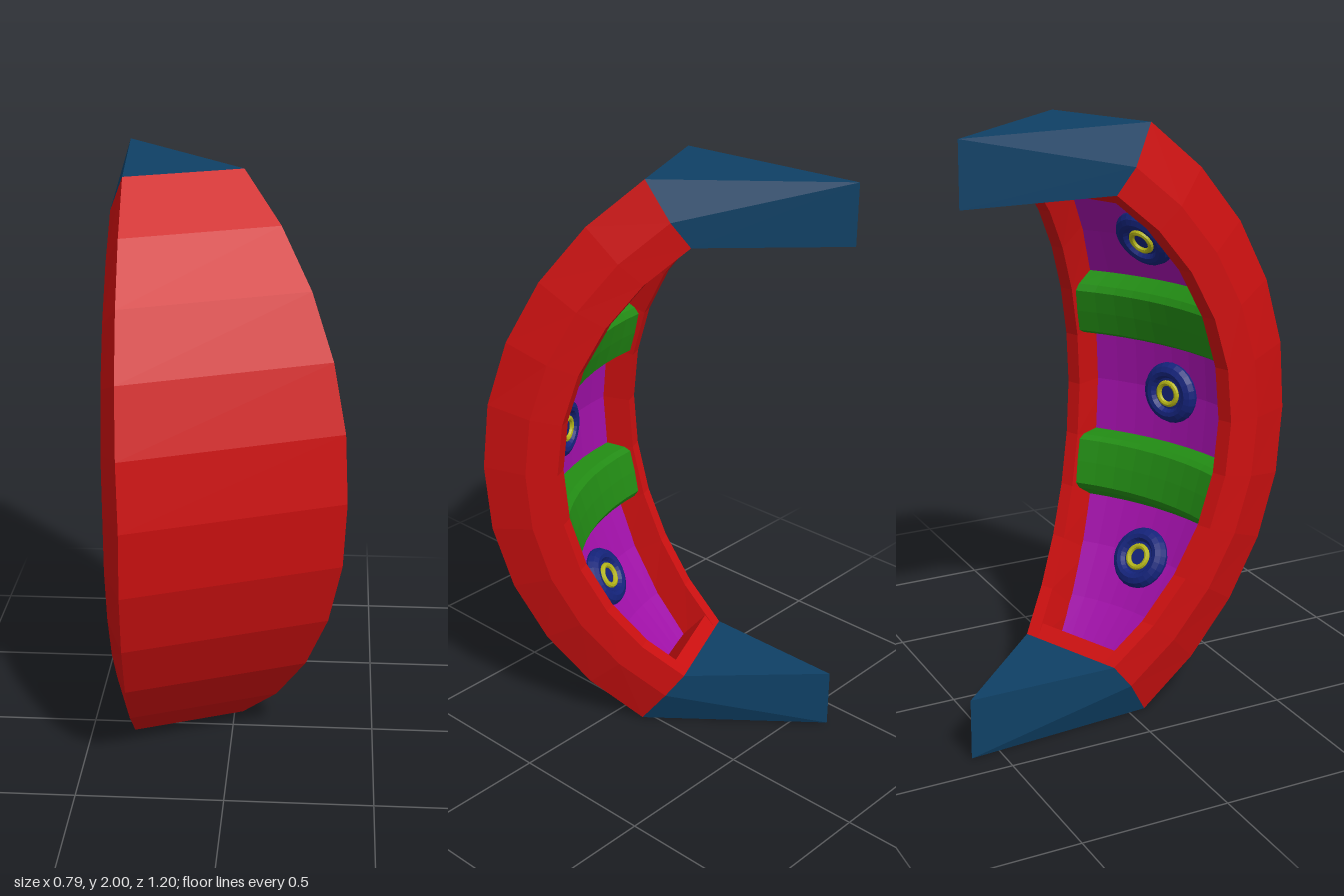
import * as THREE from 'three';
import { ConvexGeometry } from 'three/addons/geometries/ConvexGeometry.js';

const RAD = Math.PI / 180;
const MAX = 53.7 * RAD;            // half sweep of the arc
const LIP = 50.4 * RAD;            // half sweep of the recess
const STEPS = 10;
const TAN = Math.tan(22.5 * RAD);  // the wedge is one eighth of a ring
const CENTRE = -0.105;             // arc centre measured from the ring axis
const OUTER = 1.241, EDGE = 1.085, INNER = 0.983, DEEP = 1.155, PANEL = 1.13;

const mat = (color) => new THREE.MeshStandardMaterial({ color, flatShading: true });
const reach = (R, a) => R * Math.cos(a) + CENTRE;
const V = (x, y, z) => new THREE.Vector3(x, y, z);

// half width of the wedge at an arc point, less a gap blended from middle to end
const half = (R, a, mid, end) =>
  TAN * reach(R, a) - THREE.MathUtils.lerp(mid, end, Math.abs(a) / MAX);
const opening = (a) => half(INNER, a, 0.058, 0.05);

// point on the inside of the recess, curved round the ring axis
function recess(a, R, t) {
  const rho = reach(R, a), w = t * opening(a);
  return V(w, R * Math.sin(a), Math.sqrt(rho * rho - w * w));
}

// surface through rows of points
function loft(rows) {
  const n = rows[0].length, pos = [], index = [];
  rows.forEach((row) => row.forEach((p) => pos.push(p.x, p.y, p.z)));
  for (let i = 0; i < rows.length - 1; i++) {
    for (let j = 0; j < n - 1; j++) {
      const a = i * n + j, b = a + 1, c = a + n, d = c + 1;
      index.push(a, b, d, a, d, c);
    }
  }
  const g = new THREE.BufferGeometry();
  g.setAttribute('position', new THREE.Float32BufferAttribute(pos, 3));
  g.setIndex(index);
  g.computeVertexNormals();
  return g;
}

// U-shaped section of the shell at one angle
function shellSection(a) {
  const side = [
    [half(OUTER, a, 0.088, 0.056), OUTER],
    [half(EDGE, a, 0.015, 0), EDGE],
    [half(INNER, a, 0.006, 0), INNER],
    [opening(a), INNER],
    [opening(a), DEEP],
  ];
  const at = (s) => ([w, R]) => V(s * w, R * Math.sin(a), reach(R, a));
  const left = side.map(at(1)), right = side.map(at(-1)).reverse();
  return [right[4], ...left, ...right];
}

export function createModel() {
  const model = new THREE.Group();
  const wedge = new THREE.Group();
  wedge.name = 'ringSegment';
  wedge.rotation.y = 22.5 * RAD;
  wedge.position.set(-0.4, 1, -0.6);
  model.add(wedge);

  const add = (name, geometry, material, parent = wedge) => {
    const mesh = new THREE.Mesh(geometry, material);
    mesh.name = name;
    parent.add(mesh);
    return mesh;
  };
  const red = mat(0xcc1010), blue = mat(0x0f4065), purple = mat(0xa010a8);
  const green = mat(0x228b14), navy = mat(0x14237a), yellow = mat(0xb4b418);

  // curved outer shell with its inner rim
  const rows = [];
  for (let i = 0; i <= STEPS; i++) rows.push(shellSection(MAX * (2 * i / STEPS - 1)));
  add('shell', loft(rows), red);

  // curved panel at the bottom of the recess
  const COLS = 8;
  const strip = (a, R) =>
    Array.from({ length: COLS + 1 }, (_, j) => recess(a, R, 1 - 2 * j / COLS));
  const panelRows = [];
  for (let i = 0; i <= STEPS; i++) panelRows.push(strip(LIP * (2 * i / STEPS - 1), PANEL));
  add('panel', loft(panelRows), purple);

  for (const s of [-1, 1]) {
    // lip closing each end of the recess
    const lip = [];
    for (const a of [LIP, MAX]) {
      for (const R of [INNER, DEEP]) {
        for (const m of [-1, 1]) lip.push(V(m * opening(a), s * R * Math.sin(a), reach(R, a)));
      }
    }
    add('endLip', new ConvexGeometry(lip), red);

    // end wedge running back to the ring axis
    const low = INNER * Math.sin(MAX);
    const cap = [V(0, s, 0), V(0, s * low, 0)];
    for (const p of shellSection(s * MAX).slice(1, 4)) cap.push(p, V(-p.x, p.y, p.z));
    add('endWedge', new ConvexGeometry(cap), blue);

    // raised cross band with chamfered edges
    const profile = [[-6.1, PANEL], [-5.2, 1.065], [-4.3, 1.045], [0, 1.04],
      [4.3, 1.045], [5.2, 1.065], [6.1, PANEL]];
    add('crossBand', loft(profile.map(([d, R]) => strip((s * 15.4 + d) * RAD, R))), green);
  }

  // round studs between the bands
  const studProfile = [[0.108, -0.02], [0.108, 0.018], [0.098, 0.036], [0.08, 0.045],
    [0.066, 0.042], [0.056, 0.028], [0, 0.028]].map(([x, y]) => new THREE.Vector2(x, y));
  for (const deg of [-30.8, 0, 30.8]) {
    const a = deg * RAD;
    const stud = new THREE.Group();
    stud.name = 'stud';
    stud.position.set(0, PANEL * Math.sin(a), reach(PANEL, a));
    stud.rotation.x = -Math.PI / 2 - a;
    wedge.add(stud);
    add('studBody', new THREE.LatheGeometry(studProfile, 24), navy, stud);
    const ring = add('studRing', new THREE.TorusGeometry(0.038, 0.01, 8, 24), yellow, stud);
    ring.rotation.x = Math.PI / 2;
    ring.position.y = 0.031;
  }
  return model;
}
